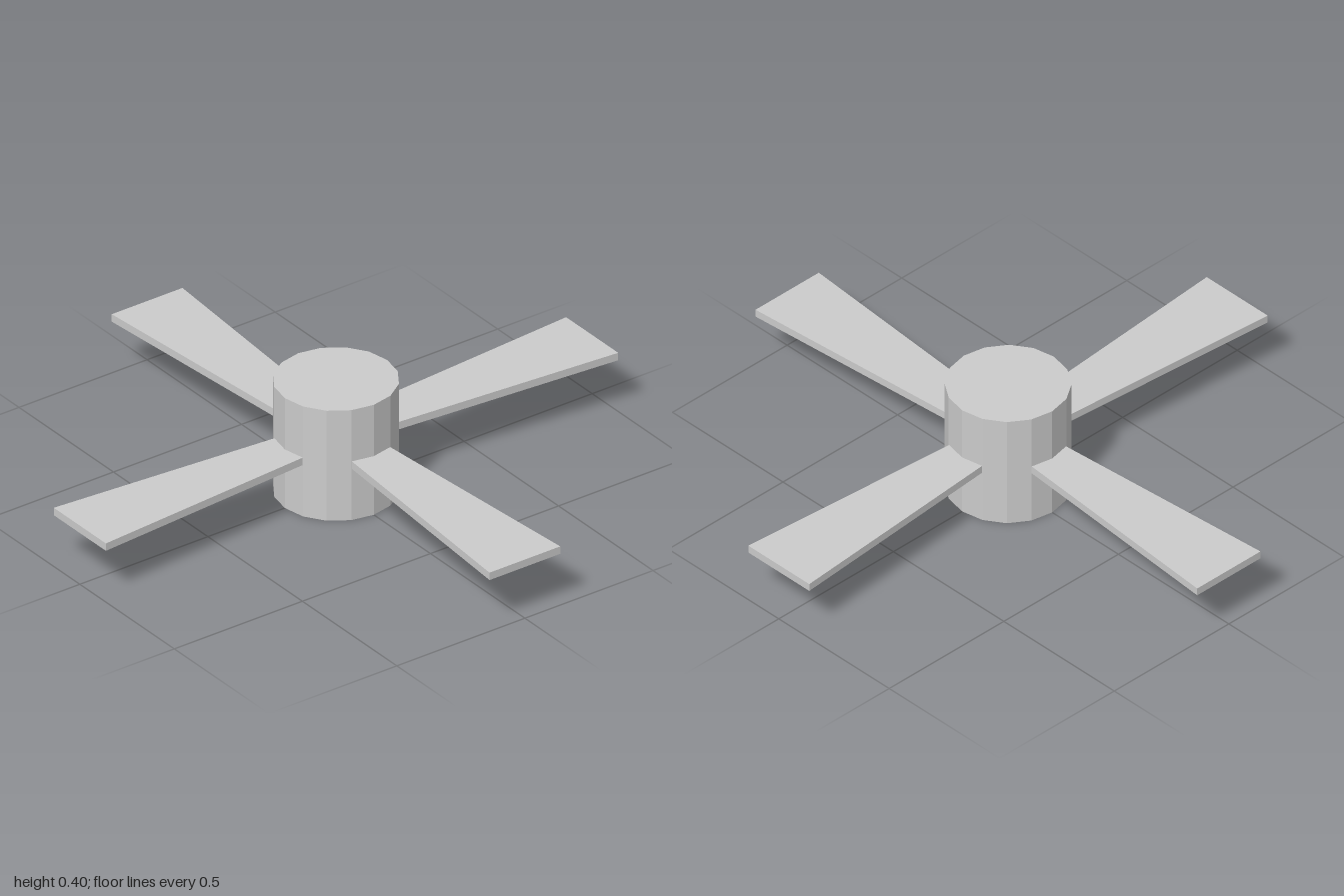
import * as THREE from 'three';

export function createModel() {
  const group = new THREE.Group();
  group.name = 'fourBladeRotor';
  const material = new THREE.MeshStandardMaterial({ color: 0xcccccc, flatShading: true });

  // Faceted hub
  const hub = new THREE.Mesh(new THREE.CylinderGeometry(0.2, 0.2, 0.4, 16), material);
  hub.name = 'hub';
  hub.position.y = 0.2;
  group.add(hub);

  // Flat blade that widens from its root, sunk into the hub, to its tip
  const rootRadius = 0.16, tipRadius = 1, rootHalf = 0.073, tipHalf = 0.138, thickness = 0.027;
  const outline = new THREE.Shape([
    new THREE.Vector2(rootRadius, -rootHalf),
    new THREE.Vector2(tipRadius, -tipHalf),
    new THREE.Vector2(tipRadius, tipHalf),
    new THREE.Vector2(rootRadius, rootHalf),
  ]);
  const bladeGeometry = new THREE.ExtrudeGeometry(outline, { depth: thickness, bevelEnabled: false });
  bladeGeometry.rotateX(-Math.PI / 2);
  bladeGeometry.translate(0, -thickness / 2, 0);

  // Four blades, a quarter turn apart
  for (let i = 0; i < 4; i++) {
    const blade = new THREE.Mesh(bladeGeometry, material);
    blade.name = `blade${i + 1}`;
    blade.position.y = 0.2;
    blade.rotation.y = (i * Math.PI) / 2;
    group.add(blade);
  }
  return group;
}
